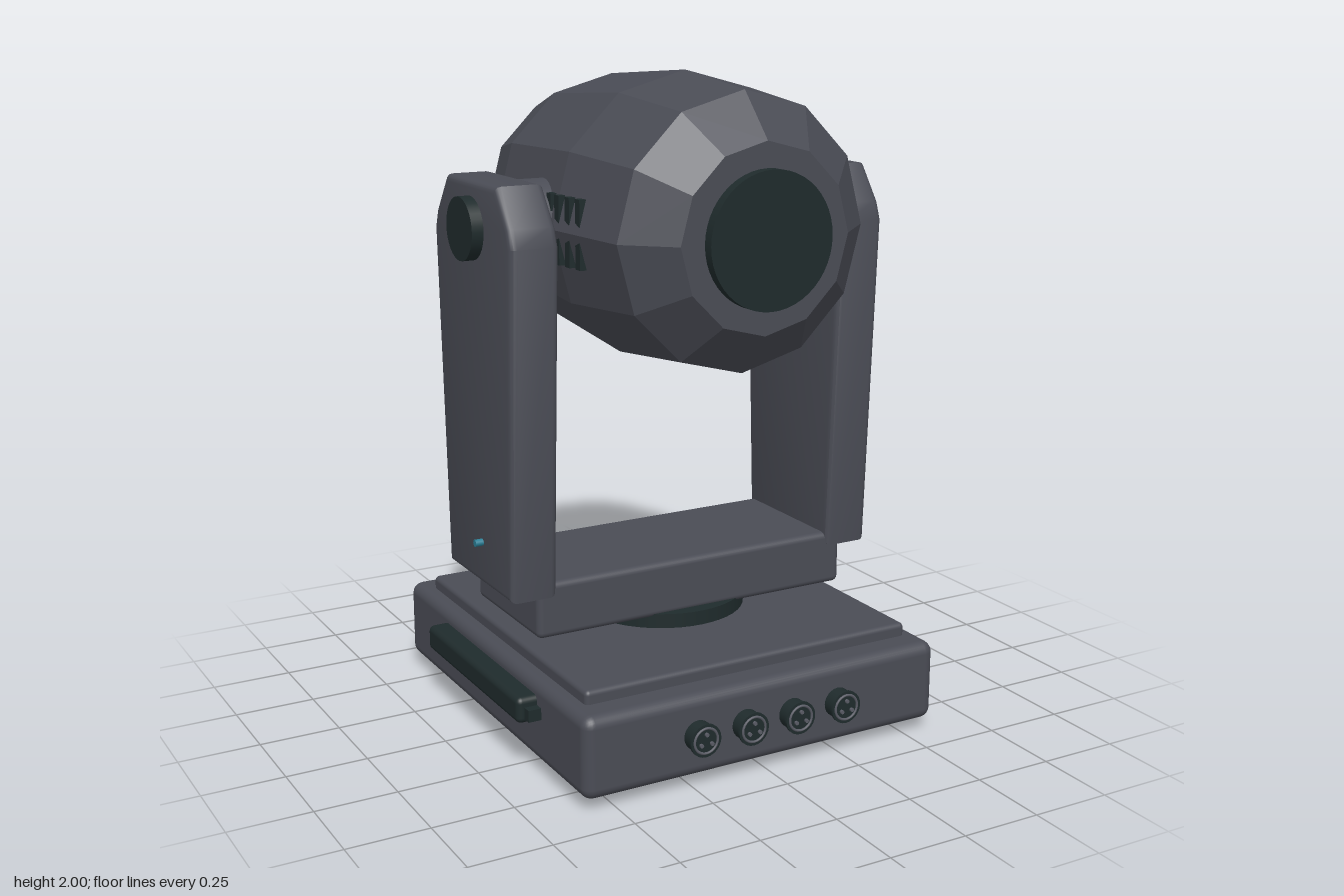
import * as THREE from 'three';
import { RoundedBoxGeometry } from 'three/addons/geometries/RoundedBoxGeometry.js';
import { toCreasedNormals } from 'three/addons/utils/BufferGeometryUtils.js';

export function createModel() {
  const root = new THREE.Group();
  root.name = 'movingHeadLight';

  const mat = (name, color) => {
    const m = new THREE.MeshStandardMaterial({ color });
    m.name = name;
    return m;
  };
  const body = mat('charcoalBody', 0x4a4c55);
  const dark = mat('darkTrim', 0x1f2b2c);
  const teal = mat('tealAccent', 0x2a7f96);
  const metal = mat('greyMetal', 0x5a5c66);

  const add = (name, geo, material, x = 0, y = 0, z = 0) => {
    const mesh = new THREE.Mesh(geo, material);
    mesh.name = name;
    mesh.position.set(x, y, z);
    root.add(mesh);
    return mesh;
  };
  const rbox = (w, h, d, r) => new RoundedBoxGeometry(w, h, d, 3, r);
  const cyl = (r, len, axis = 'y', seg = 32) => {
    const g = new THREE.CylinderGeometry(r, r, len, seg);
    if (axis === 'x') g.rotateZ(-Math.PI / 2);
    if (axis === 'z') g.rotateX(Math.PI / 2);
    return g;
  };

  // Base housing, top plate and feet
  add('baseHousing', rbox(1.2, 0.25, 1.295, 0.035), body, 0, 0.16, 0);
  add('baseTopPlate', rbox(1.1, 0.07, 1.11, 0.015), body, 0, 0.29, 0);
  for (const x of [-0.46, 0.46])
    for (const z of [-0.44, 0.44])
      add('foot', cyl(0.055, 0.05), dark, x, 0.025, z);

  // Front sockets: barrel, rim and three pins each
  for (const x of [-0.24, -0.08, 0.08, 0.24]) {
    add('socketBarrel', cyl(0.045, 0.06, 'z', 24), dark, x, 0.165, 0.66);
    add('socketFlange', cyl(0.05, 0.008, 'z', 24), dark, x, 0.165, 0.69);
    add('socketRim', new THREE.TorusGeometry(0.038, 0.004, 6, 24), metal, x, 0.165, 0.694);
    for (let i = 0; i < 3; i++) {
      const a = Math.PI / 2 + (i * Math.PI * 2) / 3;
      add('socketPin', cyl(0.006, 0.012, 'z', 8), metal,
        x + 0.02 * Math.cos(a), 0.165 + 0.02 * Math.sin(a), 0.696);
    }
  }

  // Rear control panel with screen and buttons
  add('controlPanel', rbox(0.56, 0.18, 0.04, 0.008), dark, 0, 0.17, -0.658);
  add('controlScreen', rbox(0.234, 0.11, 0.04, 0.008), teal, -0.094, 0.168, -0.69);
  for (let i = 0; i < 4; i++)
    add('controlButton', cyl(0.016, 0.04, 'z', 16), metal, 0.077 + i * 0.045, 0.168, -0.69);

  // Pan bearing and yoke crossbar
  add('panBearing', cyl(0.262, 0.06, 'y', 48), dark, 0, 0.34, 0);
  add('yokeCrossbar', rbox(1.07, 0.172, 0.44, 0.02), body, 0, 0.445, 0);

  // Tapered yoke arm outline, extruded along x
  const outline = [[-0.228, 0.49], [0.228, 0.49], [0.275, 1.535], [0.255, 1.59],
    [0.175, 1.7], [-0.175, 1.7], [-0.255, 1.59], [-0.275, 1.535]];
  const armShape = new THREE.Shape(outline.map(([z, y]) => new THREE.Vector2(z, y)));
  const armRaw = new THREE.ExtrudeGeometry(armShape, {
    depth: 0.11, bevelEnabled: true, bevelThickness: 0.02, bevelSize: 0.02,
    bevelOffset: -0.02, bevelSegments: 3,
  });
  armRaw.translate(0, 0, -0.055);
  armRaw.rotateY(Math.PI / 2);
  const armGeo = toCreasedNormals(armRaw, 0.6);

  // Head profile as [radius, z]
  const headY = 1.563;
  const profile = [[0, -0.53], [0.33, -0.53], [0.4, -0.315], [0.437, 0.145],
    [0.402, 0.475], [0.272, 0.597], [0, 0.597]];
  const radiusAt = (z) => {
    for (let i = 1; i < profile.length; i++) {
      const [r0, z0] = profile[i - 1], [r1, z1] = profile[i];
      if (z1 > z0 && z <= z1) return r0 + ((r1 - r0) * (z - z0)) / (z1 - z0);
    }
    return 0;
  };

  // Parts repeated on both sides
  for (const s of [-1, 1]) {
    add('yokeArm', armGeo, body, s * 0.55, 0, 0);
    add('tiltCap', cyl(0.093, 0.06, 'x'), dark, s * 0.631, headY, 0);
    add('tiltAxle', cyl(0.13, 0.2, 'x'), body, s * 0.41, headY, 0);
    add('statusLight', cyl(0.011, 0.04, 'x', 12), teal, s * 0.63, 0.625, 0.03);
    add('carryHandle', rbox(0.08, 0.08, 0.68, 0.018), dark, s * 0.622, 0.205, 0);
    add('handleEnd', new THREE.BoxGeometry(0.05, 0.036, 0.04), dark, s * 0.615, 0.198, 0.348);
    // Cooling slots along the head's side
    for (let i = 0; i < 8; i++) {
      const z = -0.11 + i * 0.054;
      add('coolingSlot', new THREE.BoxGeometry(0.03, 0.2, 0.028), dark,
        s * (radiusAt(z) - 0.022), headY, z);
    }
  }

  // Faceted twelve-sided head shell
  const lathe = new THREE.LatheGeometry(profile.map(([r, z]) => new THREE.Vector2(r, z)), 12);
  lathe.rotateX(Math.PI / 2);
  const headGeo = lathe.toNonIndexed();
  headGeo.computeVertexNormals();
  add('headShell', headGeo, body, 0, headY, 0);

  // Front lens and rear cap
  add('lens', cyl(0.197, 0.06, 'z', 48), dark, 0, headY, 0.6);
  add('rearCap', cyl(0.213, 0.09, 'z', 48), body, 0, headY, -0.559);
  add('rearCapDisc', cyl(0.19, 0.02, 'z', 48), body, 0, headY, -0.601);

  return root;
}
